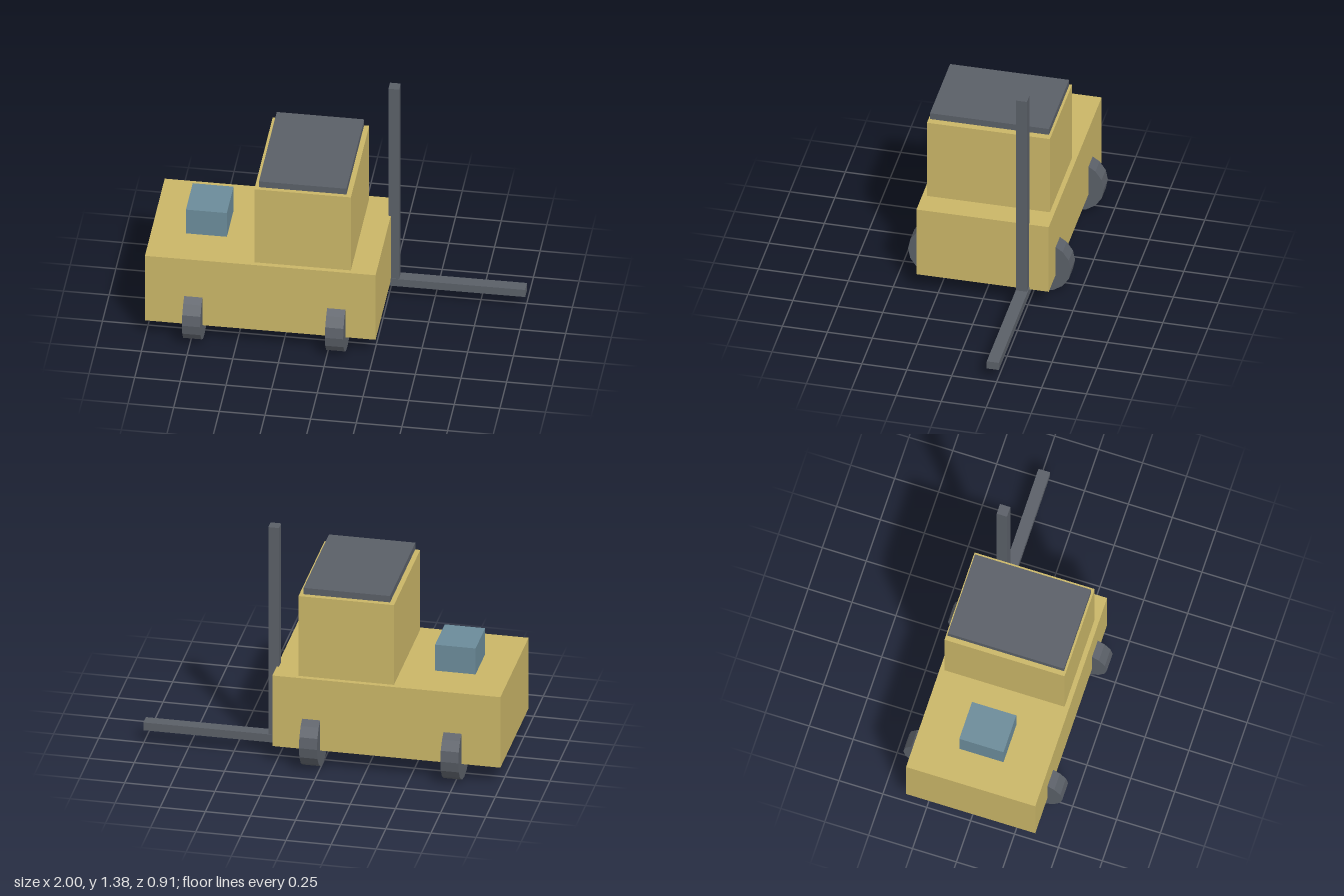
import * as THREE from 'three';

export function createModel() {
  const group = new THREE.Group();
  const mat = (name, color) => {
    const m = new THREE.MeshStandardMaterial({ color, flatShading: true });
    m.name = name;
    return m;
  };
  const yellow = mat('mustard yellow', 0xc9b567);
  const grey = mat('dark grey', 0x5a5f67);
  const blue = mat('slate blue', 0x6b8b99);

  // Box given by its extents on each axis
  const box = (name, material, [x0, x1], [y0, y1], [z0, z1]) => {
    const mesh = new THREE.Mesh(new THREE.BoxGeometry(x1 - x0, y1 - y0, z1 - z0), material);
    mesh.position.set((x0 + x1) / 2, (y0 + y1) / 2, (z0 + z1) / 2);
    mesh.name = name;
    group.add(mesh);
  };

  box('chassis', yellow, [-1, 0.263], [0.113, 0.54], [-0.368, 0.368]);
  box('cab', yellow, [-0.405, 0.124], [0.54, 1.023], [-0.342, 0.342]);
  box('roof', grey, [-0.381, 0.098], [1.032, 1.07], [-0.331, 0.331]);
  box('engineBox', blue, [-0.811, -0.587], [0.54, 0.697], [-0.126, 0.126]);

  // Lifting gear: one mast and one fork, set to the side
  box('mast', grey, [0.25, 0.309], [0.113, 1.38], [-0.257, -0.198]);
  box('fork', grey, [0.213, 1], [0.08, 0.127], [-0.262, -0.195]);

  // Wheels with their axles along x
  const wheelGeometry = new THREE.CylinderGeometry(0.158, 0.158, 0.1, 16).rotateZ(Math.PI / 2);
  for (const x of [-0.735, 0.048]) {
    for (const z of [-0.295, 0.295]) {
      const wheel = new THREE.Mesh(wheelGeometry, grey);
      wheel.position.set(x, 0.158, z);
      wheel.name = 'wheel';
      group.add(wheel);
    }
  }
  return group;
}
